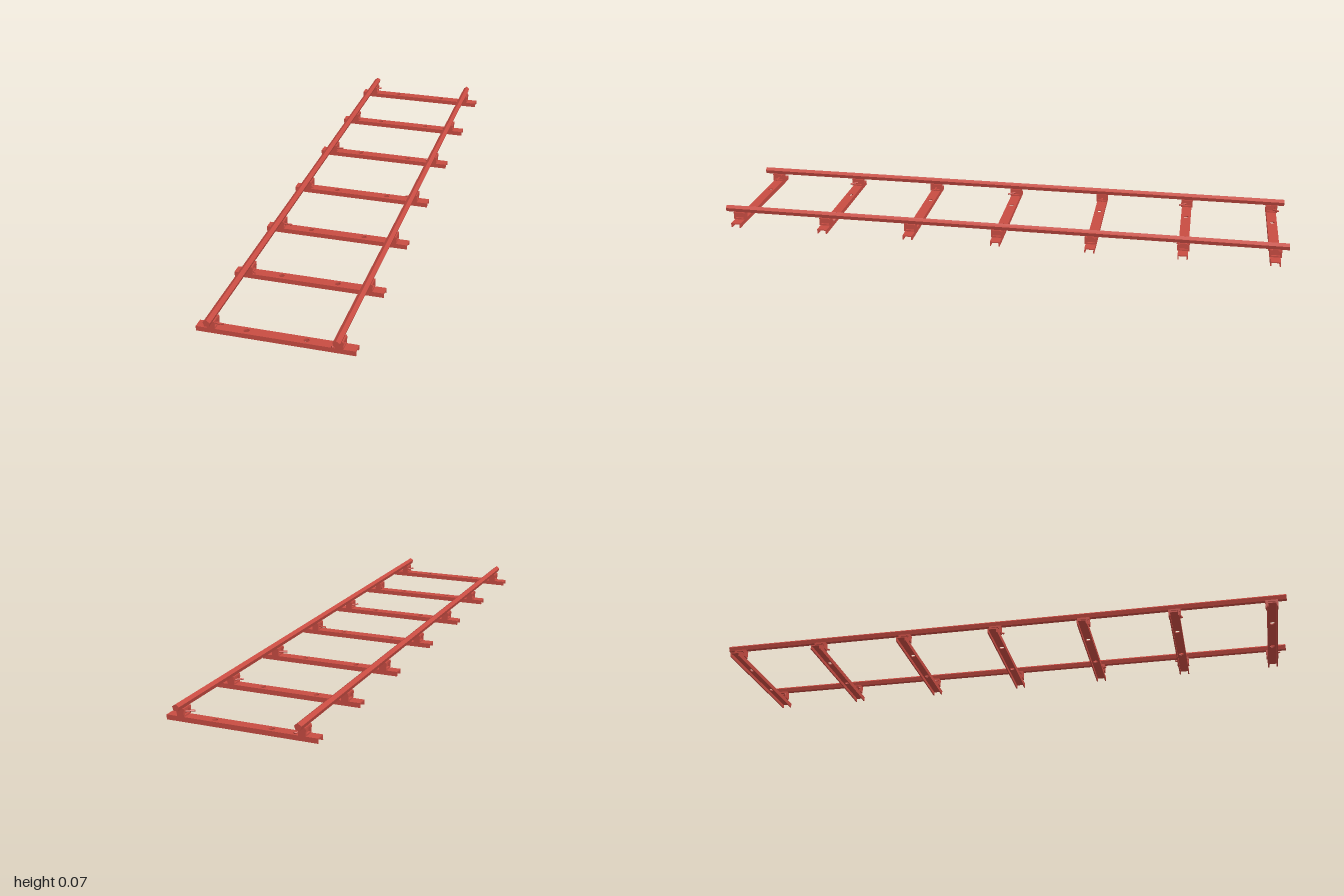
import * as THREE from 'three';

export function createModel() {
  const model = new THREE.Group();
  const red = new THREE.MeshStandardMaterial({ color: 0xc84c42, flatShading: true });
  const add = (parent, name, geometry, x = 0, y = 0, z = 0) => {
    const mesh = new THREE.Mesh(geometry, red);
    mesh.name = name;
    mesh.position.set(x, y, z);
    parent.add(mesh);
    return mesh;
  };

  // Rails: five-sided bars, ridge up
  const railGeo = new THREE.CylinderGeometry(0.0122, 0.0122, 2, 5).rotateX(-Math.PI / 2);
  for (const s of [-1, 1]) add(model, 'rail', railGeo, s * 0.2, 0.053, 0);

  // Sleeper top plate with two fixing holes
  const plate = new THREE.Shape();
  plate.moveTo(-0.25, -0.0175).lineTo(0.25, -0.0175).lineTo(0.25, 0.0175).lineTo(-0.25, 0.0175);
  for (const x of [-0.094, 0.094]) {
    plate.holes.push(new THREE.Path().absarc(x, 0, 0.009, 0, Math.PI * 2, true));
  }
  const plateGeo = new THREE.ExtrudeGeometry(plate, { depth: 0.004, bevelEnabled: false, curveSegments: 8 });
  plateGeo.rotateX(-Math.PI / 2);
  const flangeGeo = new THREE.BoxGeometry(0.5, 0.012, 0.004);

  // Chair: open frame seen from the side, with lips gripping the rail
  const frame = new THREE.Shape();
  frame.moveTo(-0.021, 0.016).lineTo(0.021, 0.016).lineTo(0.021, 0.043).lineTo(-0.021, 0.043);
  const opening = new THREE.Path();
  opening.moveTo(-0.015, 0.021).lineTo(-0.015, 0.037).lineTo(0.015, 0.037).lineTo(0.015, 0.021);
  frame.holes.push(opening);
  const chairGeo = new THREE.ExtrudeGeometry(frame, { depth: 0.024, bevelEnabled: false });
  chairGeo.translate(0, 0, -0.012).rotateY(Math.PI / 2);
  const coreGeo = new THREE.BoxGeometry(0.01, 0.02, 0.03);
  const lipGeo = new THREE.BoxGeometry(0.027, 0.008, 0.008);
  const leverGeo = new THREE.CylinderGeometry(0.003, 0.003, 0.034, 6).rotateZ(Math.PI / 2).translate(0.017, 0, 0);

  // Sleeper positions, with lever swing towards +z for the right and left rail
  const rows = [
    [-0.955, -0.9, 0.7], [-0.647, 0.9, 0.7], [-0.33, 0, 0.4], [0, 0.9, 0],
    [0.313, 0, 0.9], [0.626, 0.8, -0.9], [0.95, 0, 0.9],
  ];
  for (const [z, swingRight, swingLeft] of rows) {
    const sleeper = new THREE.Group();
    sleeper.name = 'sleeper';
    sleeper.position.z = z;
    model.add(sleeper);
    add(sleeper, 'sleeperTop', plateGeo, 0, 0.012, 0);
    for (const s of [-1, 1]) {
      add(sleeper, 'sleeperFlange', flangeGeo, 0, 0.006, s * 0.0155);
      add(sleeper, 'railChair', chairGeo, s * 0.2, 0, 0);
      add(sleeper, 'chairCore', coreGeo, s * 0.2, 0.029, 0);
      for (const e of [-1, 1]) add(sleeper, 'chairLip', lipGeo, s * 0.2, 0.036, e * 0.016);
      const lever = add(sleeper, 'lever', leverGeo, s * 0.2, 0.026, 0);
      lever.rotation.y = s < 0 ? -swingRight : Math.PI + swingLeft;
    }
  }
  return model;
}
